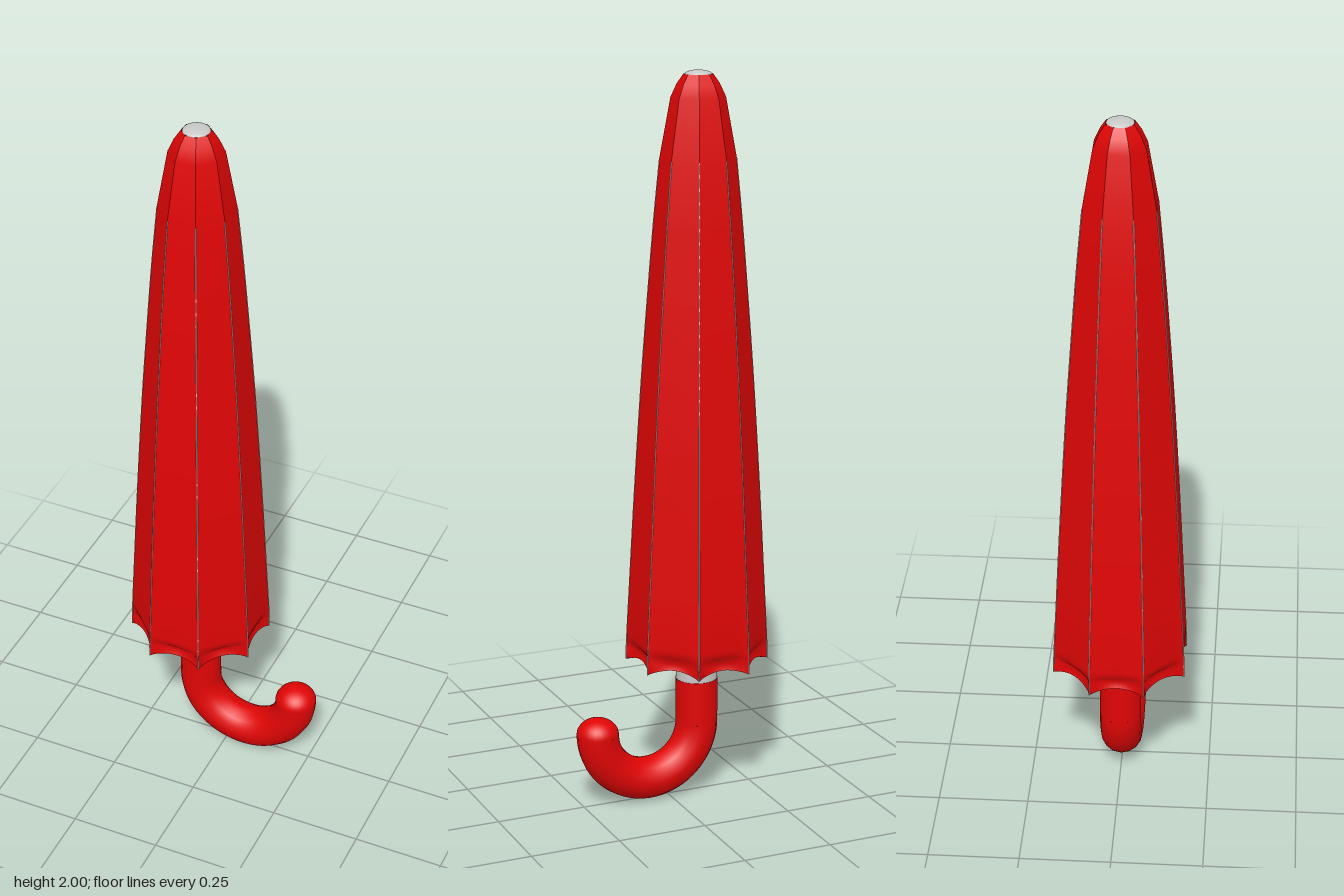
import * as THREE from 'three';

const AXIS_X = -0.088;
const SIDES = 8;
const CORNER = 1 / Math.cos(Math.PI / SIDES);

// canopy rows from top to hem: height, distance to the flat of a panel, inward pinch
const PROFILE = [
  [1.99, 0.036], [1.965, 0.052], [1.93, 0.067], [1.77, 0.094], [1.6, 0.109], [1.4, 0.124],
  [1.2, 0.138], [1.0, 0.15], [0.8, 0.161], [0.6, 0.171], [0.46, 0.178],
  [0.435, 0.179, 0.01], [0.414, 0.18, 0.028], [0.385, 0.18, 0.014],
];

const red = new THREE.MeshStandardMaterial({ color: 0xe00505 });
red.name = 'red cloth';
red.side = THREE.DoubleSide;
const grey = new THREE.MeshStandardMaterial({ color: 0xc8c8c8 });
grey.name = 'grey metal';

function add(parent, name, geometry, material, x = 0, y = 0) {
  const mesh = new THREE.Mesh(geometry, material);
  mesh.name = name;
  mesh.position.set(x, y, 0);
  parent.add(mesh);
  return mesh;
}

// one thin cloth panel: outer face down to the scalloped hem, then back up inside
function panelGeometry() {
  const steps = 12;
  const inner = PROFILE.map(([y, r, pinch]) => [y, r - 0.008, pinch]).reverse();
  const rows = [...PROFILE, ...inner];
  const half = Math.tan(Math.PI / SIDES);
  const positions = [];
  const index = [];
  rows.forEach(([y, r, pinch = 0], i) => {
    for (let j = 0; j <= steps; j++) {
      const t = j / steps;
      const arch = Math.max(0, Math.sin(Math.PI * t));
      const lift = y < 0.4 ? 0.017 * arch : 0;
      positions.push(r - pinch * Math.sqrt(arch), y + lift, r * half * (2 * t - 1));
      if (i < rows.length - 1 && j < steps) {
        const a = i * (steps + 1) + j;
        const b = a + steps + 1;
        index.push(a, a + 1, b, a + 1, b + 1, b);
      }
    }
  });
  const geometry = new THREE.BufferGeometry();
  geometry.setAttribute('position', new THREE.Float32BufferAttribute(positions, 3));
  geometry.setIndex(index);
  geometry.computeVertexNormals();
  return geometry;
}

// fine wire that follows the seam between two panels
function ribGeometry() {
  const points = PROFILE.slice(3).map(([y, r]) => new THREE.Vector3(r * CORNER - 0.0006, y, 0));
  return new THREE.TubeGeometry(new THREE.CatmullRomCurve3(points), 40, 0.0017, 6);
}

export function createModel() {
  const umbrella = new THREE.Group();
  umbrella.name = 'closedUmbrella';

  // folded canopy with a rib on every seam
  const canopy = new THREE.Group();
  canopy.name = 'canopy';
  canopy.position.x = AXIS_X;
  umbrella.add(canopy);
  const panel = panelGeometry();
  const rib = ribGeometry();
  for (let i = 0; i < SIDES; i++) {
    const angle = (i / SIDES) * Math.PI * 2;
    add(canopy, 'canopyPanel', panel, red).rotation.y = angle;
    add(canopy, 'rib', rib, grey).rotation.y = angle + Math.PI / SIDES;
  }

  // shaft and the shallow domed cap at its tip
  add(umbrella, 'shaft', new THREE.CylinderGeometry(0.057, 0.057, 1.5, 24), grey, AXIS_X, 1.07);
  add(umbrella, 'tip', new THREE.SphereGeometry(0.036, 24, 8, 0, Math.PI * 2, 0, Math.PI / 2), grey,
    AXIS_X, 1.989).scale.y = 0.3;

  // hooked handle: straight grip, half ring and rounded end
  const hook = new THREE.Group();
  hook.name = 'handle';
  umbrella.add(hook);
  const radius = 0.058;
  const bend = 0.148;
  const bendY = radius + bend;
  add(hook, 'grip', new THREE.CylinderGeometry(radius, radius, 0.33 - bendY, 24), red,
    AXIS_X, (0.33 + bendY) / 2);
  add(hook, 'hook', new THREE.TorusGeometry(bend, radius, 16, 32, Math.PI), red,
    AXIS_X + bend, bendY).rotation.z = Math.PI;
  add(hook, 'handleEnd', new THREE.SphereGeometry(radius, 24, 12, 0, Math.PI * 2, 0, Math.PI / 2), red,
    AXIS_X + 2 * bend, bendY).scale.y = 0.8;

  return umbrella;
}
